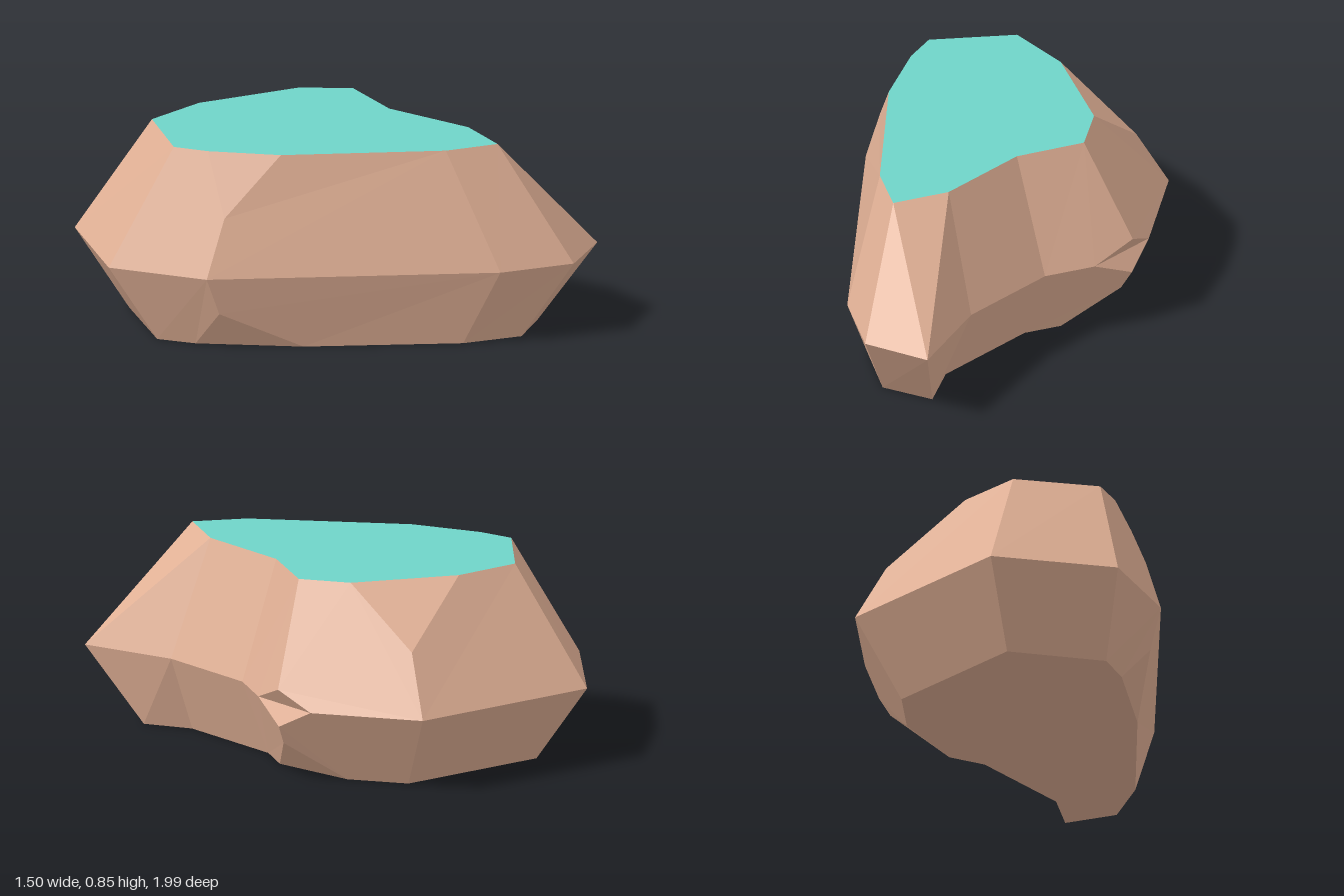
import * as THREE from 'three';

const TOP = 0.85, MID = 0.34;
const at = (y, pairs) => pairs.map(([x, z]) => new THREE.Vector3(x, y, z));

// Rings run clockwise seen from above, starting at the back left
const T = at(TOP, [[-0.28, -0.69], [0.01, -0.655], [0.425, -0.43], [0.55, -0.24], [0.425, 0.04],
  [0.425, 0.455], [0.32, 0.685], [0.12, 0.56], [-0.34, 0.03], [-0.48, -0.25], [-0.52, -0.4]]);
const M = at(MID, [[-0.41, -1], [0.425, -0.885], [0.7, -0.48], [0.7, -0.15], [0.605, 0.055],
  [0.605, 0.505], [0.735, 0.905], [0.45, 0.99], [0.17, 0.81], [-0.64, -0.14], [-0.755, -0.57]]);
const B = at(0, [[-0.32, -0.78], [0.33, -0.69], [0.48, -0.47], [0.54, -0.11], [0.47, 0.04], [0.47, 0.52],
  [0.575, 0.71], [0.355, 0.785], [0.135, 0.64], [-0.3, 0.12], [-0.535, -0.275], [-0.585, -0.44]]);

// Single corners of the chipped facets
const backChip = new THREE.Vector3(0.365, 0.6, -0.75);
const sideChip = new THREE.Vector3(-0.54, 0.59, -0.12);
const notchTop = new THREE.Vector3(0.75, 0.42, -0.33);
const notchLow = new THREE.Vector3(0.745, 0.255, -0.33);
const lowChipL = new THREE.Vector3(0.7, 0.17, -0.31);
const lowChipR = new THREE.Vector3(-0.57, 0.17, -0.125);

// Flat facets from polygons listed counterclockwise seen from outside
function facets(polygons) {
  const out = [];
  for (const p of polygons) {
    const n = new THREE.Vector3();
    p.forEach((a, i) => n.add(new THREE.Vector3().crossVectors(a, p[(i + 1) % p.length])));
    n.normalize();
    const u = p[1].clone().sub(p[0]).normalize();
    const v = new THREE.Vector3().crossVectors(n, u);
    const flat = p.map((a) => new THREE.Vector2(a.dot(u), a.dot(v)));
    for (const [i, j, k] of THREE.ShapeUtils.triangulateShape(flat, [])) {
      const ab = p[j].clone().sub(p[i]), ac = p[k].clone().sub(p[i]);
      const tri = ab.cross(ac).dot(n) > 0 ? [i, j, k] : [i, k, j];
      tri.forEach((q) => out.push(p[q].x, p[q].y, p[q].z));
    }
  }
  const g = new THREE.BufferGeometry();
  g.setAttribute('position', new THREE.Float32BufferAttribute(out, 3));
  g.computeVertexNormals();
  return g;
}

export function createModel() {
  const stone = new THREE.MeshStandardMaterial({ color: 0xe2b196 });
  stone.name = 'tan stone';
  const grass = new THREE.MeshStandardMaterial({ color: 0x6fd4c8 });
  grass.name = 'teal grass';

  const upper = [
    [T[0], T[1], backChip, M[1], M[0]],
    [T[1], T[2], backChip],
    [T[2], T[3], notchTop, M[2], M[1], backChip],
    [T[3], T[4], M[4], M[3], notchTop],
    [T[4], T[5], M[5], M[4]],
    [T[5], M[6], M[5]],
    [T[5], T[6], M[6]],
    [T[6], M[7], M[6]],
    [T[6], T[7], M[8], M[7]],
    [T[7], T[8], sideChip, M[9], M[8]],
    [T[8], T[9], sideChip],
    [T[9], T[10], M[10], M[9], sideChip],
    [T[10], T[0], M[0], M[10]],
  ];
  const notch = [[notchTop, M[3], M[2]], [M[3], notchLow, M[2]]];
  const lower = [
    [M[0], M[1], B[1], B[0]],
    [M[1], M[2], notchLow, lowChipL, B[2], B[1]],
    [lowChipL, B[3], B[2]],
    [M[3], M[4], B[4], B[3], lowChipL, notchLow],
    [M[8], M[9], lowChipR, B[9], B[8]],
    [lowChipR, B[10], B[9]],
    [M[9], M[10], B[11], B[10], lowChipR],
    [M[10], M[0], B[0], B[11]],
  ];
  for (let i = 4; i < 8; i++) lower.push([M[i], M[i + 1], B[i + 1], B[i]]);

  const model = new THREE.Group();
  model.name = 'rock';
  const add = (name, polygons, material) => {
    const mesh = new THREE.Mesh(facets(polygons), material);
    mesh.name = name;
    model.add(mesh);
  };
  add('grassTop', [[...T].reverse()], grass);
  add('upperSides', upper, stone);
  add('sideNotch', notch, stone);
  add('lowerSides', lower, stone);
  add('underside', [B], stone);
  return model;
}
